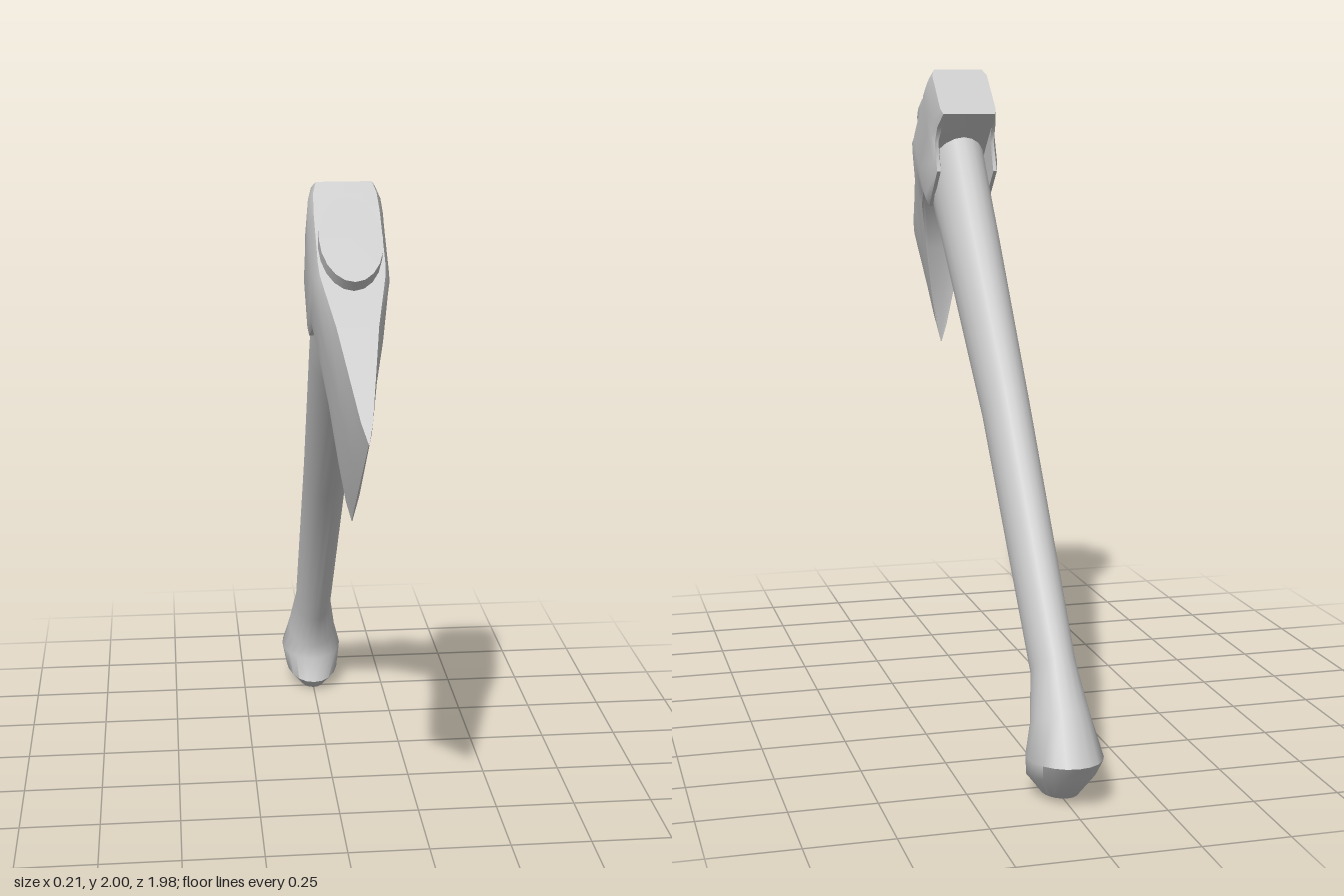
import * as THREE from 'three';
import { toCreasedNormals } from 'three/addons/utils/BufferGeometryUtils.js';

// Skin a closed surface over rings of points, with a fan cap at both ends
function loft(rings, crease) {
  const n = rings[0].length, last = rings.length - 1;
  const points = rings.flat();
  const index = [];
  for (let i = 0; i < last; i++) {
    for (let j = 0; j < n; j++) {
      const k = (j + 1) % n;
      const a = i * n + j, b = i * n + k, c = a + n, d = b + n;
      index.push(a, c, b, b, c, d);
    }
  }
  for (const end of [0, last]) {
    const centre = new THREE.Vector3();
    rings[end].forEach((p) => centre.addScaledVector(p, 1 / n));
    const c = points.push(centre) - 1;
    for (let j = 0; j < n; j++) {
      const a = end * n + j, b = end * n + (j + 1) % n;
      if (end === 0) index.push(c, a, b);
      else index.push(c, b, a);
    }
  }
  const geometry = new THREE.BufferGeometry().setFromPoints(points);
  geometry.setIndex(index);
  return toCreasedNormals(geometry, crease);
}

// Oval handle: [back z, back y, front z, front y, half width], top to knob
function handleGeometry() {
  const stations = [
    [0.42, 1.97, 0.65, 1.78, 0.087],
    [0.255, 1.78, 0.47, 1.59, 0.09],
    [0.16, 1.66, 0.38, 1.48, 0.088],
    [0.07, 1.54, 0.29, 1.405, 0.086],
    [-0.31, 1.08, -0.18, 0.91, 0.07],
    [-0.82, 0.40, -0.67, 0.29, 0.062],
    [-0.91, 0.27, -0.715, 0.17, 0.082],
    [-0.99, 0.14, -0.72, 0.12, 0.105],
    [-0.955, 0.095, -0.69, 0.04, 0.092],
    [-0.89, 0.02, -0.73, 0.003, 0.05],
  ];
  const sides = 20;
  const rings = stations.map(([bz, by, fz, fy, w]) =>
    Array.from({ length: sides }, (_, j) => {
      const angle = (j / sides) * Math.PI * 2;
      const m = (1 + Math.cos(angle)) / 2;
      return new THREE.Vector3(w * Math.sin(angle), by + (fy - by) * m, bz + (fz - bz) * m);
    }));
  return loft(rings, 0.9);
}

// Head, from poll to cutting edge, in its own tilted frame:
// s runs from poll to edge, t runs along the eye (0 at the top)
function headGeometry() {
  // [s at top, s at bottom, t of the bottom middle, t of the side lugs, half width]
  const stations = [
    [0.0, -0.017, -0.2, -0.2, 0.09],
    [0.04, 0.04, -0.205, -0.205, 0.101],
    [0.09, 0.09, -0.21, -0.225, 0.104],
    [0.123, 0.123, -0.21, -0.317, 0.105],
    [0.285, 0.285, -0.22, -0.328, 0.105],
    [0.327, 0.327, -0.225, -0.232, 0.102],
    [0.37, 0.405, -0.23, -0.232, 0.093],
    [0.5, 0.538, -0.312, -0.314, 0.065],
    [0.66, 0.66, -0.408, -0.41, 0.04],
    [0.8, 0.745, -0.483, -0.485, 0.018],
    [0.868, 0.785, -0.523, -0.525, 0.001],
  ];
  const rings = stations.map(([sTop, sBottom, middle, lug, w]) => {
    const half = [
      [0.5 * w, 0], [0.87 * w, 0], [w, 0.13 * lug], [w, 0.5 * lug],
      [w, 0.88 * lug], [0.93 * w, lug], [0.82 * w, lug], [0.78 * w, middle],
    ];
    const mirrored = half.map(([x, t]) => [-x, t]).reverse();
    return [[0, 0], ...half, [0, middle], ...mirrored].map(([x, t]) => {
      const s = sTop + (sBottom - sTop) * (t / lug);
      return new THREE.Vector3(x, 2 - 0.656 * s + 0.754 * t, 0.335 + 0.754 * s + 0.656 * t);
    });
  });
  return loft(rings, 0.85);
}

export function createModel() {
  const group = new THREE.Group();
  group.name = 'axe';
  const material = new THREE.MeshStandardMaterial({ color: 0xcccccc });
  const parts = { handle: handleGeometry(), axeHead: headGeometry() };
  for (const [name, geometry] of Object.entries(parts)) {
    const mesh = new THREE.Mesh(geometry, material);
    mesh.name = name;
    group.add(mesh);
  }
  return group;
}
